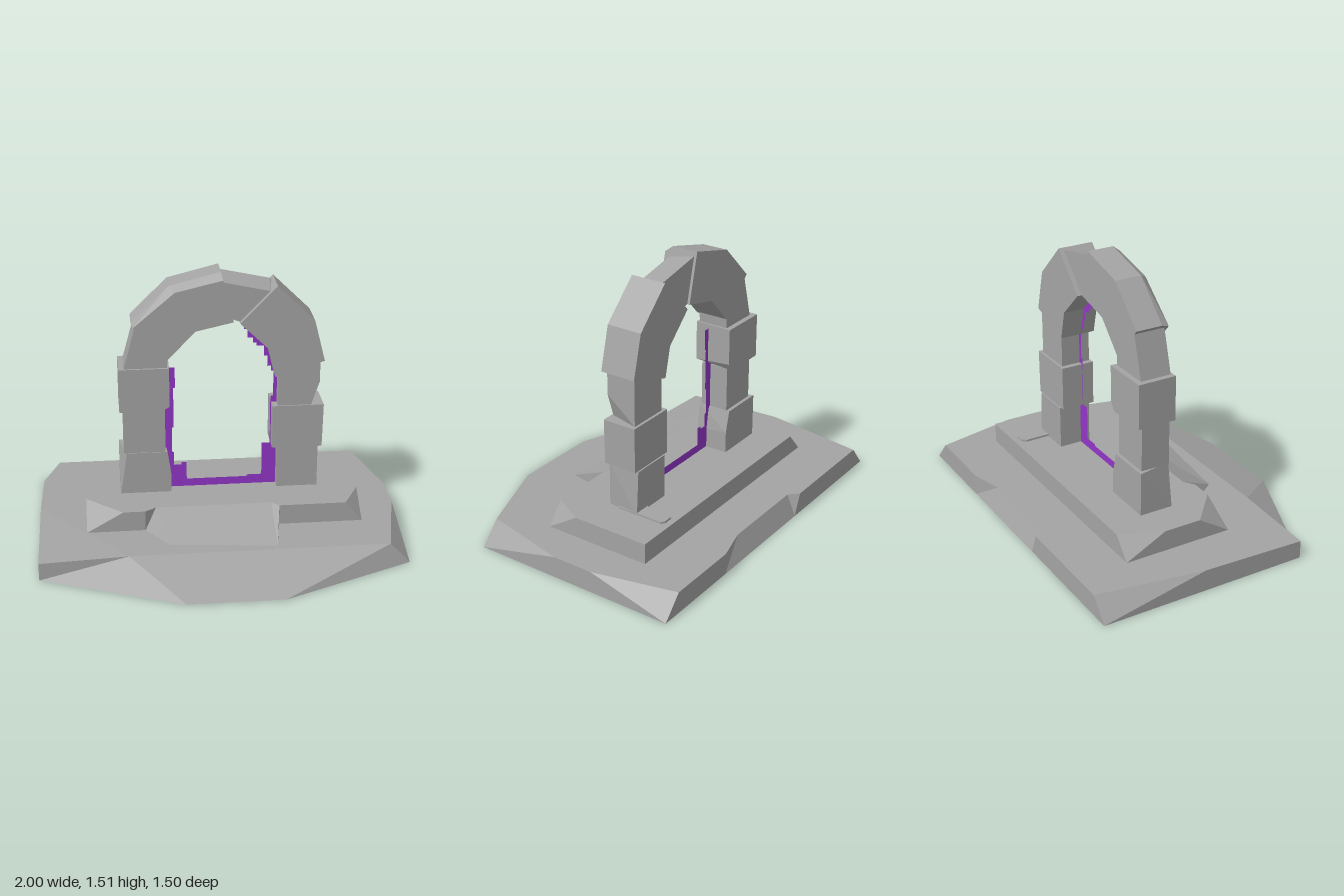
import * as THREE from 'three';

const stone = new THREE.MeshStandardMaterial({ color: 0xa4a4a4 });
stone.name = 'grey stone';
const glow = new THREE.MeshStandardMaterial({ color: 0x9136c6, side: THREE.DoubleSide });
glow.name = 'portal purple';

// Flat-faced solid through matching counter-clockwise outlines, ordered by rising z.
// Each section is { z, pts }, and a point may carry its own z as a third value.
function loft(sections) {
  const rings = sections.map(s => s.pts.map(p => [p[0], p[1], p[2] ?? s.z]));
  const out = [];
  const tri = (a, b, c) => out.push(...a, ...b, ...c);
  const cap = (ring, flip) => {
    const flat = ring.map(p => new THREE.Vector2(p[0], p[1]));
    for (const [a, b, c] of THREE.ShapeUtils.triangulateShape(flat, [])) {
      if (flip) tri(ring[a], ring[c], ring[b]);
      else tri(ring[a], ring[b], ring[c]);
    }
  };
  cap(rings[0], true);
  cap(rings[rings.length - 1], false);
  for (let k = 0; k + 1 < rings.length; k++) {
    const lo = rings[k], hi = rings[k + 1], n = lo.length;
    for (let i = 0; i < n; i++) {
      const j = (i + 1) % n;
      tri(lo[i], lo[j], hi[j]);
      tri(lo[i], hi[j], hi[i]);
    }
  }
  const g = new THREE.BufferGeometry();
  g.setAttribute('position', new THREE.Float32BufferAttribute(out, 3));
  g.computeVertexNormals();
  return g;
}

// Slab from ground-plan points (x, z), bottom and top
function slab(y0, bottom, y1, top) {
  const plan = list => list.map(([x, z, y]) => [x, -z, y]);
  return loft([{ z: y0, pts: plan(bottom) }, { z: y1, pts: plan(top) }]).rotateX(-Math.PI / 2);
}

// Upright stone whose front outline may differ from its back outline
const prism = (z0, z1, back, front = back) => loft([{ z: z0, pts: back }, { z: z1, pts: front }]);

export function createModel() {
  const model = new THREE.Group();
  const add = (name, geometry, material = stone) => {
    const mesh = new THREE.Mesh(geometry, material);
    mesh.name = name;
    model.add(mesh);
  };

  // Rough ground slab with sloping front and chipped corners
  add('groundSlab', slab(0,
    [[-1, .43], [-1, .43], [-.24, .745], [.28, .745], [1, .43], [1, .43], [1, -.75], [1, -.75],
      [.47, -.75], [.28, -.75], [-.23, -.75], [-.28, -.75], [-1, -.75], [-1, -.75]],
    .12,
    [[-1, -.16], [-1, .43, .1], [-.52, .43], [.89, .43], [.89, .43], [1, -.06], [1, -.29], [.89, -.75],
      [.47, -.75], [.28, -.7], [-.23, -.7], [-.28, -.75], [-.9, -.75], [-1, -.16]]));

  // Raised step with a worn ramp at the front
  add('step', slab(.12,
    [[-.74, .15], [-.74, .15], [-.42, .15], [-.29, .33], [.28, .39], [.32, .15],
      [.785, .15], [.785, .15], [.785, -.47], [-.74, -.47], [-.74, -.47]],
    .235,
    [[-.74, -.03], [-.54, .15], [-.42, .15], [-.36, .11], [.28, .11], [.32, .15],
      [.69, .15], [.785, -.03], [.785, -.47], [-.64, -.47], [-.74, -.24]]));

  // Loose flat chip behind the arch
  add('looseChip', slab(.23,
    [[.49, -.15], [.58, -.15], [.58, -.42], [.56, -.435], [.51, -.435], [.49, -.41]], .246,
    [[.49, -.15], [.58, -.15], [.58, -.42], [.56, -.435], [.51, -.435], [.49, -.41]]));

  // Pillar stones on the right-hand (-x) side
  add('rightPillarStone1', prism(-.27, -.08,
    [[-.545, .23], [-.26, .23], [-.26, .36], [-.29, .48], [-.545, .48]],
    [[-.545, .23], [-.26, .23], [-.26, .34], [-.28, .48], [-.505, .48]]));
  add('rightPillarStone2', prism(-.25, -.085,
    [[-.52, .48], [-.29, .48], [-.29, .735], [-.52, .735]]));
  add('rightPillarStone3', prism(-.28, -.062,
    [[-.54, .735], [-.29, .735], [-.26, .78], [-.26, .985], [-.54, .985]],
    [[-.54, .735], [-.31, .735], [-.265, .76], [-.265, .985], [-.54, .985]]));
  add('rightPillarStone4', prism(-.25, -.075,
    [[-.51, .985], [-.275, .985], [-.27, 1.06], [-.44, 1.24]]));

  // Pillar stones on the left-hand (+x) side
  add('leftPillarStone1', prism(-.27, -.085,
    [[.335, .23], [.58, .23], [.565, .48], [.335, .48]],
    [[.335, .23], [.565, .23], [.565, .48], [.335, .48]]));
  add('leftPillarStone2', prism(-.265, -.072,
    [[.305, .483], [.585, .483], [.59, .735], [.305, .735]]));
  add('leftPillarStone3', prism(-.25, -.08,
    [[.335, .735], [.565, .735], [.565, .87], [.565, 1], [.335, 1]],
    [[.335, .735], [.52, .735], [.565, .87], [.565, 1], [.335, 1]]));

  // Curved arch stones, with a chamfer along the upper front edge of the first
  const archBack = [[-.28, 1.03], [-.12, 1.195], [.085, 1.24], [.02, 1.51], [-.26, 1.44], [-.465, 1.24]];
  const archFront = [[-.28, 1.03], [-.12, 1.195], [.085, 1.24], [.027, 1.475], [-.23, 1.415], [-.455, 1.225]];
  add('rightArchStone', loft([
    { z: -.25, pts: archBack }, { z: -.1, pts: archBack }, { z: -.055, pts: archFront }]));
  add('keystone', prism(-.235, -.085,
    [[.085, 1.24], [.14, 1.225], [.34, 1.39], [.3, 1.425], [.02, 1.485]],
    [[.085, 1.245], [.14, 1.225], [.34, 1.37], [.28, 1.4], [.03, 1.455]]));
  add('leftArchStone', prism(-.262, -.058,
    [[.12, 1.23], [.275, 1.08], [.315, .915], [.585, 1], [.525, 1.235], [.32, 1.435]]));

  // Ragged remnant of the portal film around the opening
  const film = pts => new THREE.ShapeGeometry(
    new THREE.Shape(pts.map(p => new THREE.Vector2(...p)))).translate(0, 0, -.14);
  add('portalLowerEdge', film([
    [-.3, .235], [.34, .235], [.34, .485], [.255, .485], [.255, .29], [.17, .29], [.17, .28], [-.17, .28],
    [-.17, .385], [-.2, .385], [-.2, .37], [-.24, .37], [-.24, .45], [-.25, .45], [-.25, .6], [-.24, .6],
    [-.24, .84], [-.23, .84], [-.23, .96], [-.3, .96]]), glow);
  add('portalUpperEdge', film([
    [.34, .485], [.34, .93], [.33, 1.05], [.16, 1.25], [.12, 1.23], [.15, 1.2], [.15, 1.17], [.17, 1.17],
    [.17, 1.12], [.2, 1.12], [.2, 1.09], [.22, 1.09], [.22, 1.07], [.26, 1.07], [.26, 1.01], [.28, 1.01],
    [.28, .95], [.3, .95], [.3, .92], [.315, .92], [.315, .77], [.3, .77], [.3, .485]]), glow);

  return model;
}
